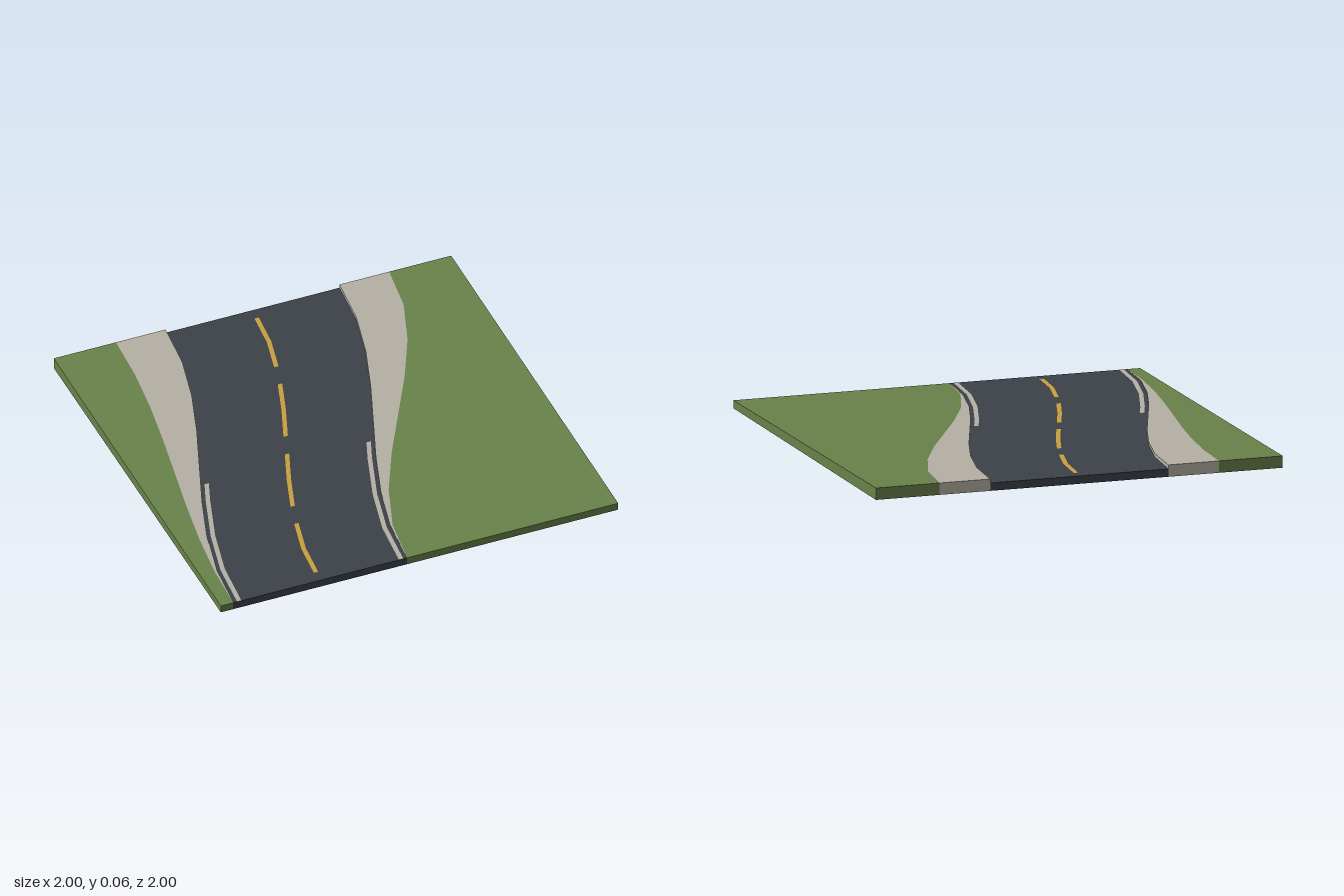
import * as THREE from 'three';

const ROAD_Y = 0.0375, CURB_RISE = 0.019, HALF = 0.4375, STEP = 0.25;

// S-curve progress along the road, straight between stations every 0.25
const smooth = (t) => t * t * (3 - 2 * t);
function bend(z) {
  const i = Math.min(7, Math.max(0, Math.floor((z + 1) / STEP)));
  const a = smooth(i / 8), b = smooth((i + 1) / 8);
  return a + (b - a) * ((z + 1) / STEP - i);
}
const centre = (z) => -0.5 * bend(z);
const walkWidth = (z) => 0.25 * (1 - bend(z));
const bankY = (z) => ROAD_Y + CURB_RISE * (1 - z) / 2;

// Stations from z0 to z1, keeping every bend in the road
function stations(z0, z1) {
  const list = [z0];
  for (let i = 0; i <= 8; i++) {
    const z = -1 + i * STEP;
    if (z > z0 + 1e-6 && z < z1 - 1e-6) list.push(z);
  }
  return [...list, z1];
}

// Strip between two edges; each edge maps z to [x, y]
function strip(name, material, left, right, z0 = -1, z1 = 1) {
  const pos = [], zs = stations(z0, z1);
  for (let i = 0; i < zs.length - 1; i++) {
    const a = zs[i], b = zs[i + 1];
    const [la, ra, lb, rb] = [[left, a], [right, a], [left, b], [right, b]]
      .map(([edge, z]) => [edge(z)[0], edge(z)[1], z]);
    pos.push(...la, ...lb, ...rb, ...la, ...rb, ...ra);
  }
  const geometry = new THREE.BufferGeometry();
  geometry.setAttribute('position', new THREE.Float32BufferAttribute(pos, 3));
  geometry.computeVertexNormals();
  const mesh = new THREE.Mesh(geometry, material);
  mesh.name = name;
  return mesh;
}

// Upright end wall at z, from x0 to x1
function endWall(name, material, x0, x1, height, z) {
  const geometry = new THREE.PlaneGeometry(x1 - x0, height);
  if (z < 0) geometry.rotateY(Math.PI);
  geometry.translate((x0 + x1) / 2, height / 2, z);
  const mesh = new THREE.Mesh(geometry, material);
  mesh.name = name;
  return mesh;
}

export function createModel() {
  const make = (name, color) => {
    const m = new THREE.MeshStandardMaterial({ color, side: THREE.DoubleSide });
    m.name = name;
    return m;
  };
  const grass = make('grass green', 0x69824a);
  const paving = make('pale paving', 0xb5b0a5);
  const asphalt = make('dark asphalt', 0x3c4148);
  const yellow = make('line yellow', 0xc9a03c);
  const group = new THREE.Group();
  group.name = 'curvedRoadTile';

  // Road surface and its two ends
  group.add(strip('roadSurface', asphalt,
    (z) => [centre(z) - HALF, ROAD_Y], (z) => [centre(z) + HALF, ROAD_Y]));
  for (const z of [-1, 1]) {
    group.add(endWall('roadEnd', asphalt, centre(z) - HALF, centre(z) + HALF, ROAD_Y, z));
  }

  // Curb, tapering pavement and grass bank on each side
  for (const s of [-1, 1]) {
    const side = s > 0 ? 'left' : 'right';
    const inner = (z) => [centre(z) + s * HALF, bankY(z)];
    const outer = (z) => [centre(z) + s * (HALF + walkWidth(z)), bankY(z)];
    const border = (z) => [s, bankY(z)];
    const foot = (edge) => (z) => [edge(z)[0], 0];
    // Lay each strip with its upper or outward face in front
    const add = (name, mat, a, b) =>
      group.add(s > 0 ? strip(name, mat, a, b) : strip(name, mat, b, a));
    add(side + 'Curb', paving, foot(inner), inner);
    add(side + 'Pavement', paving, inner, outer);
    add(side + 'Grass', grass, outer, border);
    add(side + 'GrassWall', grass, border, foot(border));

    for (const z of [-1, 1]) {
      const xs = [inner(z)[0], outer(z)[0], s];
      const wall = (name, mat, a, b) => group.add(
        endWall(name, mat, Math.min(a, b), Math.max(a, b), bankY(z), z));
      if (walkWidth(z) > 0.001) wall(side + 'PavementEnd', paving, xs[0], xs[1]);
      wall(side + 'GrassEnd', grass, xs[1], xs[2]);
    }
  }

  // Painted lines just above the asphalt
  const line = (name, mat, offset, z0, z1) => group.add(strip(name, mat,
    (z) => [centre(z) + offset - 0.011, ROAD_Y + 0.001],
    (z) => [centre(z) + offset + 0.011, ROAD_Y + 0.001], z0, z1));
  for (let i = 0; i < 4; i++) {
    const z = -1 + i * 0.5;
    line('centreDash', yellow, 0, z + 0.0625, z + 0.4375);
  }
  for (const s of [-1, 1]) line('edgeLine', paving, s * (HALF - 0.03), 0.125, 1);

  return group;
}
